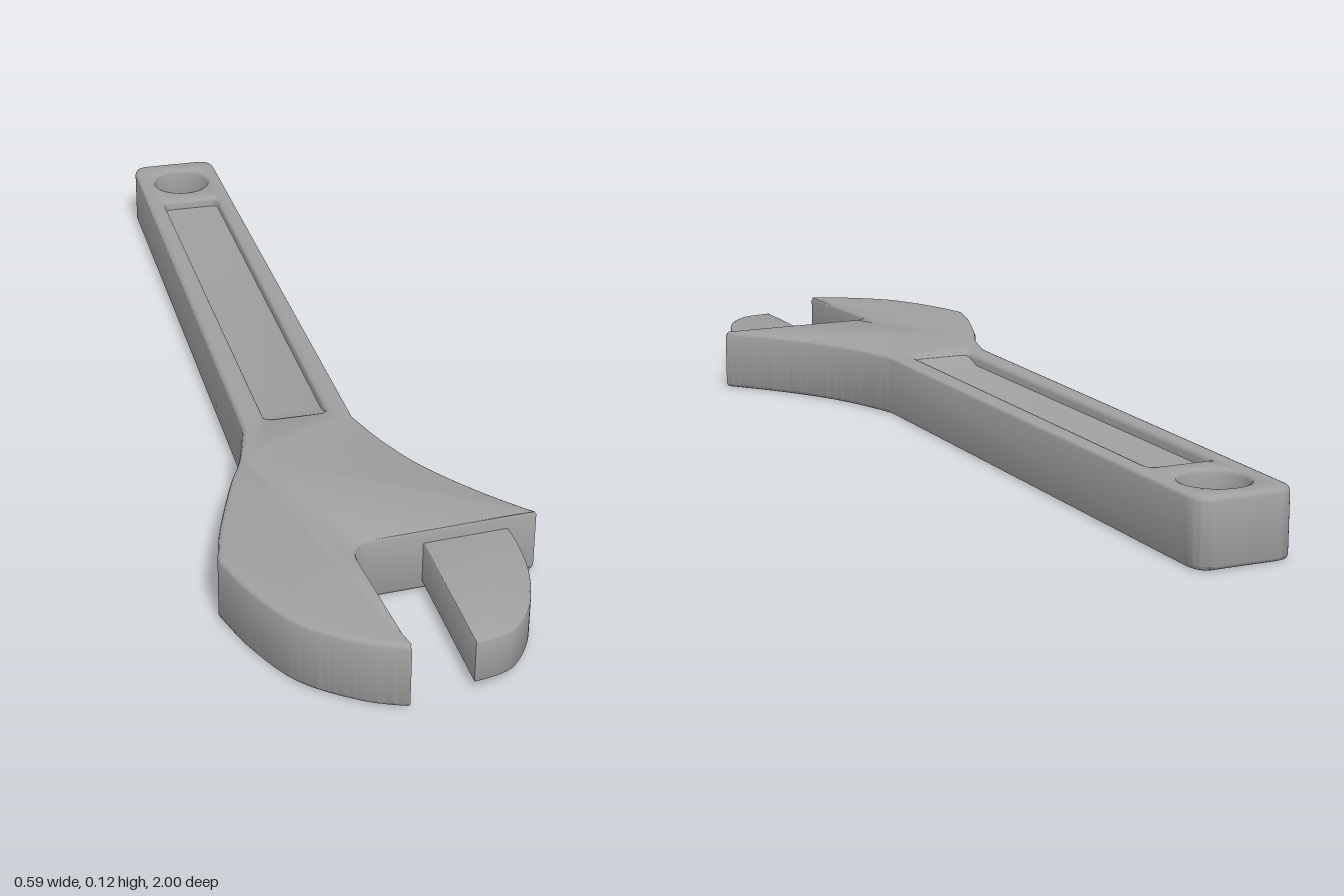
import * as THREE from 'three';
import { toCreasedNormals } from 'three/addons/utils/BufferGeometryUtils.js';

const HEIGHT = 0.125;
const steel = new THREE.MeshStandardMaterial({ color: 0xa0a0a0 });
steel.name = 'steel grey';

// Extrude a plan shape (x, z) so that it stands between y0 and y1, with softened edges
function slab(name, shape, y0, y1, bevel) {
  const geo = new THREE.ExtrudeGeometry(shape, {
    depth: y1 - y0 - 2 * bevel, curveSegments: 16, bevelEnabled: true,
    bevelThickness: bevel, bevelSize: bevel, bevelOffset: -bevel, bevelSegments: 2,
  });
  geo.rotateX(Math.PI / 2).translate(0, y1 - bevel, 0);
  const mesh = new THREE.Mesh(toCreasedNormals(geo, 0.85), steel);
  mesh.name = name;
  return mesh;
}

function roundedRect(x0, z0, x1, z1, r) {
  const p = new THREE.Path();
  p.moveTo(x0 + r, z0);
  p.lineTo(x1 - r, z0);
  p.quadraticCurveTo(x1, z0, x1, z0 + r);
  p.lineTo(x1, z1 - r);
  p.quadraticCurveTo(x1, z1, x1 - r, z1);
  p.lineTo(x0 + r, z1);
  p.quadraticCurveTo(x0, z1, x0, z1 - r);
  p.lineTo(x0, z0 + r);
  p.quadraticCurveTo(x0, z0, x0 + r, z0);
  return p;
}

const points = (...list) => list.map(([x, z]) => new THREE.Vector2(x, z));

export function createModel() {
  const model = new THREE.Group();
  model.name = 'adjustableWrench';

  // Handle, flared head and fixed jaw in one outline
  const body = new THREE.Shape();
  body.moveTo(-0.11, -1);
  body.lineTo(0.02, -1);
  body.quadraticCurveTo(0.05, -0.995, 0.05, -0.955);
  body.lineTo(0.062, 0.26);
  body.splineThru(points([0.094, 0.36], [0.14, 0.46], [0.215, 0.57], [0.293, 0.662]));
  body.lineTo(-0.025, 0.682);
  body.quadraticCurveTo(-0.058, 0.69, -0.058, 0.73);
  body.lineTo(-0.04, 1);
  body.splineThru(points([-0.115, 0.966], [-0.205, 0.89], [-0.262, 0.78], [-0.294, 0.675]));
  body.splineThru(points([-0.27, 0.58], [-0.22, 0.44], [-0.185, 0.36], [-0.155, 0.255]));
  body.lineTo(-0.14, -0.955);
  body.quadraticCurveTo(-0.14, -0.995, -0.11, -1);

  // Hanging hole and the opening for the handle groove
  const hangingHole = new THREE.Path();
  hangingHole.absarc(-0.043, -0.893, 0.062, 0, Math.PI * 2, true);
  body.holes.push(hangingHole, roundedRect(-0.105, -0.782, 0.018, 0.23, 0.015));
  model.add(slab('body', body, 0, HEIGHT, 0.008));

  // Web closing the groove from both sides, ramping up towards the head
  const floor = 0.02;
  const web = new THREE.Shape(points(
    [-0.79, floor], [0.185, floor], [0.235, 0.004],
    [0.235, HEIGHT - 0.004], [0.185, HEIGHT - floor], [-0.79, HEIGHT - floor],
  ));
  const webGeo = new THREE.ExtrudeGeometry(web, { depth: 0.127, bevelEnabled: false });
  webGeo.rotateY(-Math.PI / 2).translate(0.02, 0, 0);
  const webMesh = new THREE.Mesh(toCreasedNormals(webGeo, 0.6), steel);
  webMesh.name = 'grooveFloor';
  model.add(webMesh);

  // Movable jaw, thinner than the head
  const jaw = new THREE.Shape();
  jaw.moveTo(0.078, 0.66);
  jaw.lineTo(0.24, 0.655);
  jaw.splineThru(points([0.241, 0.72], [0.232, 0.8], [0.205, 0.885], [0.165, 0.945], [0.13, 0.967], [0.078, 0.978]));
  jaw.lineTo(0.078, 0.66);
  model.add(slab('movableJaw', jaw, 0.015, 0.098, 0.003));

  return model;
}
